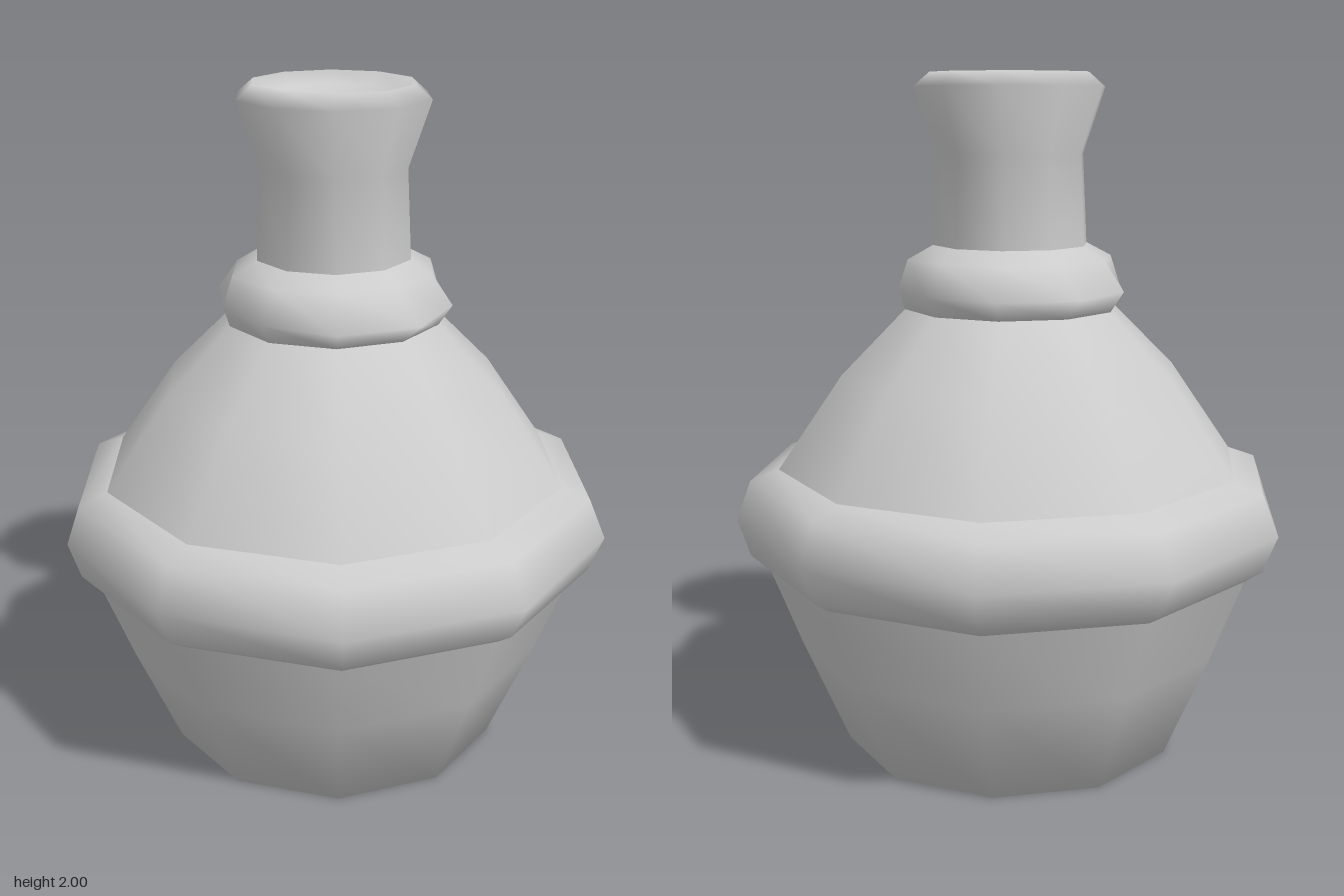
import * as THREE from 'three';
import { mergeVertices } from 'three/addons/utils/BufferGeometryUtils.js';

const SIDES = 10;

// Ten-sided turned part with smooth normals, a corner on +x.
// Each profile point is [radius on the x axis, y, optional radius towards z].
function turned(name, profile, material) {
  const points = profile.map(([r, y]) => new THREE.Vector2(r, y));
  const geometry = new THREE.LatheGeometry(points, SIDES, Math.PI / 2);
  const pos = geometry.attributes.position;
  for (let i = 0; i < pos.count; i++) {
    const [r, , rz = r] = profile[i % profile.length];
    if (r === 0) continue;
    const x = pos.getX(i), z = pos.getZ(i);
    const blend = (z * z) / (r * r);
    const scale = (r + (rz - r) * blend) / r;
    pos.setX(i, x * scale);
    pos.setZ(i, z * scale);
  }
  geometry.deleteAttribute('uv');
  geometry.deleteAttribute('normal');
  const welded = mergeVertices(geometry, 1e-4);
  welded.computeVertexNormals();
  const mesh = new THREE.Mesh(welded, material);
  mesh.name = name;
  return mesh;
}

export function createModel() {
  const group = new THREE.Group();
  group.name = 'flask';
  const material = new THREE.MeshStandardMaterial({ color: 0xcccccc, side: THREE.DoubleSide });

  const parts = {
    // Tapering lower bowl with closed base
    lowerBody: [[0, 0], [0.505, 0], [0.64, 0.32], [0.735, 0.57]],
    // Bulging band around the widest part
    belt: [[0.735, 0.57], [0.785, 0.605], [0.82, 0.715, 0.845], [0.78, 0.83], [0.695, 0.862]],
    // Sloping shoulder
    shoulder: [[0.695, 0.862], [0.505, 1.135], [0.315, 1.325]],
    // Collar, more pointed towards front and back
    collar: [[0.315, 1.325], [0.333, 1.385, 0.395], [0.305, 1.47, 0.275], [0.23, 1.51]],
    // Neck with flared lip and a shallow dished mouth
    neck: [[0.23, 1.51], [0.217, 1.77], [0.282, 1.96], [0.235, 2], [0.2, 1.965], [0, 1.93]],
  };
  for (const [name, profile] of Object.entries(parts)) group.add(turned(name, profile, material));
  return group;
}
